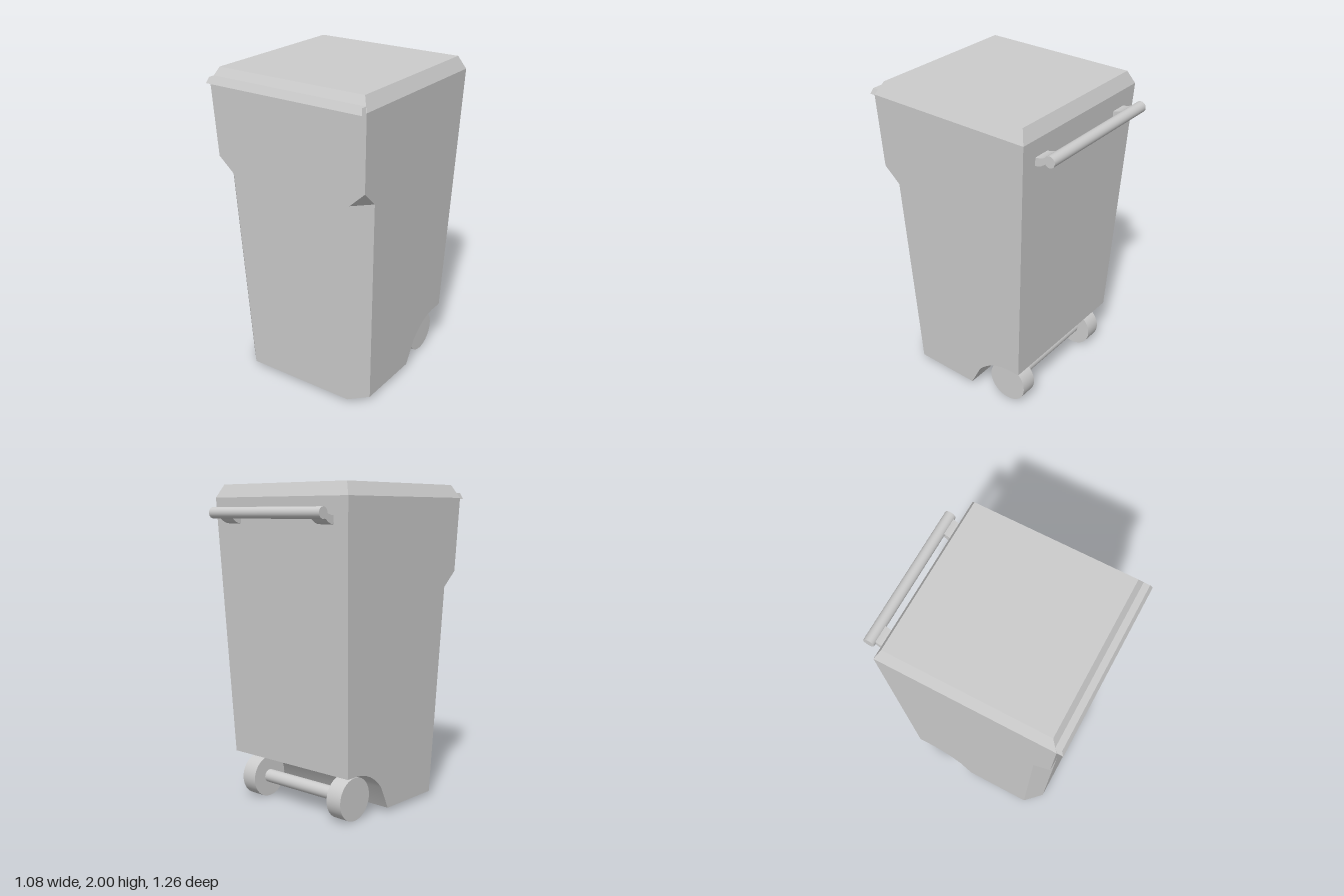
import * as THREE from 'three';
import { toCreasedNormals } from 'three/addons/utils/BufferGeometryUtils.js';

const material = new THREE.MeshStandardMaterial({ color: 0xcccccc });

// Tapered walls: positions as linear functions of height
const BOTTOM = 0.03, RIM = 1.92;
const taper = (low, high) => (y) => low + (high - low) * (y - BOTTOM) / (RIM - BOTTOM);
const sideX = taper(0.465, 0.54);
const frontZ = taper(0.51, 0.59);
const backZ = taper(-0.403, -0.493);

function addMesh(parent, name, geometry) {
  const mesh = new THREE.Mesh(geometry, material);
  mesh.name = name;
  parent.add(mesh);
  return mesh;
}

// Fills a planar polygon, triangulated across axes u and v, facing the outward hint
function addPolygon(out, points, u, v, outward) {
  const contour = points.map((p) => new THREE.Vector2(p[u], p[v]));
  const hint = new THREE.Vector3(...outward);
  for (const tri of THREE.ShapeUtils.triangulateShape(contour, [])) {
    const [a, b, c] = tri.map((i) => new THREE.Vector3(...points[i]));
    const normal = b.clone().sub(a).cross(c.clone().sub(a));
    const corners = normal.dot(hint) < 0 ? [a, c, b] : [a, b, c];
    corners.forEach((p) => out.push(p.x, p.y, p.z));
  }
}

function bodyGeometry() {
  const out = [];
  const cutTop = 1.46, cutY = 1.365, cut = 0.1;
  // Wheel arch profile as [z, y], from the floor to the back wall
  const arch = [[-0.025, 0.03], [-0.1, 0.18], [-0.13, 0.212], [-0.165, 0.242], [-0.205, 0.268],
    [-0.245, 0.286], [-0.285, 0.297], [-0.33, 0.302], [backZ(0.302), 0.302]];

  for (const s of [1, -1]) {
    const onSide = (z, y) => [s * sideX(y), y, z];
    const onFront = (y) => [s * (sideX(y) - cut), y, frontZ(y)];
    const corner = onSide(frontZ(cutTop), cutTop);
    const sideHigh = onSide(frontZ(cutY) - cut, cutY);
    const sideLow = onSide(frontZ(BOTTOM) - cut, BOTTOM);
    // Side wall
    addPolygon(out, [onSide(frontZ(RIM), RIM), corner, sideHigh, sideLow,
      ...arch.map(([z, y]) => onSide(z, y)), onSide(backZ(RIM), RIM)], 2, 1, [s, 0, 0]);
    // Front corner chamfer and the sloping facet above it
    addPolygon(out, [sideHigh, sideLow, onFront(BOTTOM), onFront(cutY)], 0, 1, [s, 0, 1]);
    addPolygon(out, [corner, sideHigh, onFront(cutY)], 0, 1, [s, -1, 1]);
  }

  // Front wall
  const half = [[sideX(RIM), RIM], [sideX(cutTop), cutTop],
    [sideX(cutY) - cut, cutY], [sideX(BOTTOM) - cut, BOTTOM]];
  const outline = [...half, ...half.map(([x, y]) => [-x, y]).reverse()];
  addPolygon(out, outline.map(([x, y]) => [x, y, frontZ(y)]), 0, 1, [0, 0, 1]);

  // Back wall
  const back = (s, y) => [s * sideX(y), y, backZ(y)];
  addPolygon(out, [back(-1, RIM), back(1, RIM), back(1, 0.302), back(-1, 0.302)], 0, 1, [0, 0, -1]);

  // Floor
  const w = sideX(BOTTOM), f = frontZ(BOTTOM), r = arch[0][0];
  addPolygon(out, [[-w, BOTTOM, r], [w, BOTTOM, r], [w, BOTTOM, f - cut], [w - cut, BOTTOM, f],
    [cut - w, BOTTOM, f], [-w, BOTTOM, f - cut]], 0, 2, [0, -1, 0]);

  // Wheel arch
  for (let i = 0; i < arch.length - 1; i++) {
    const [z0, y0] = arch[i], [z1, y1] = arch[i + 1];
    addPolygon(out, [[-sideX(y0), y0, z0], [sideX(y0), y0, z0],
      [sideX(y1), y1, z1], [-sideX(y1), y1, z1]], 0, 2, [0, -1, -0.5]);
  }

  const geometry = new THREE.BufferGeometry();
  geometry.setAttribute('position', new THREE.Float32BufferAttribute(out, 3));
  return toCreasedNormals(geometry, 0.5);
}

// Box whose bottom and top have their own half width and z range
function frustum(y0, y1, low, high) {
  const geometry = new THREE.BoxGeometry(2, 2, 2);
  const p = geometry.attributes.position;
  for (let i = 0; i < p.count; i++) {
    const [w, zBack, zFront] = p.getY(i) > 0 ? high : low;
    p.setXYZ(i, p.getX(i) * w, p.getY(i) > 0 ? y1 : y0, p.getZ(i) > 0 ? zFront : zBack);
  }
  geometry.computeVertexNormals();
  return geometry;
}

// Cylinder lying along x
function rod(radius, length, sides) {
  return new THREE.CylinderGeometry(radius, radius, length, sides).rotateZ(Math.PI / 2);
}

export function createModel() {
  const model = new THREE.Group();
  model.name = 'wheeledBin';

  addMesh(model, 'body', bodyGeometry());

  // Lid with bevelled edges and a front lip
  addMesh(model, 'lid', frustum(RIM, 2, [0.54, -0.493, 0.59], [0.5, -0.457, 0.546]));
  addMesh(model, 'lidLip', frustum(1.915, 1.95, [0.538, 0.56, 0.628], [0.525, 0.56, 0.612]));

  // Handle bar with two curved brackets
  addMesh(model, 'handleBar', rod(0.034, 0.9, 32)).position.set(0, 1.827, -0.594);
  const profile = new THREE.Shape();
  profile.moveTo(0.46, 1.813);
  profile.lineTo(0.487, 1.813);
  profile.quadraticCurveTo(0.53, 1.815, 0.575, 1.845);
  profile.lineTo(0.585, 1.805);
  profile.quadraticCurveTo(0.56, 1.8, 0.535, 1.78);
  profile.quadraticCurveTo(0.515, 1.765, 0.483, 1.763);
  profile.lineTo(0.46, 1.763);
  const width = 0.107;
  const bracket = toCreasedNormals(
    new THREE.ExtrudeGeometry(profile, { depth: width, bevelEnabled: false, curveSegments: 6 })
      .translate(0, 0, -width / 2).rotateY(Math.PI / 2), 0.6);

  // Wheels on an axle
  const wheel = rod(0.133, 0.107, 40);
  for (const [side, s] of [['left', 1], ['right', -1]]) {
    addMesh(model, side + 'HandleBracket', bracket).position.x = s * 0.376;
    addMesh(model, side + 'Wheel', wheel).position.set(s * 0.362, 0.137, -0.281);
  }
  addMesh(model, 'axle', rod(0.042, 0.64, 32)).position.set(0, 0.137, -0.281);

  return model;
}
